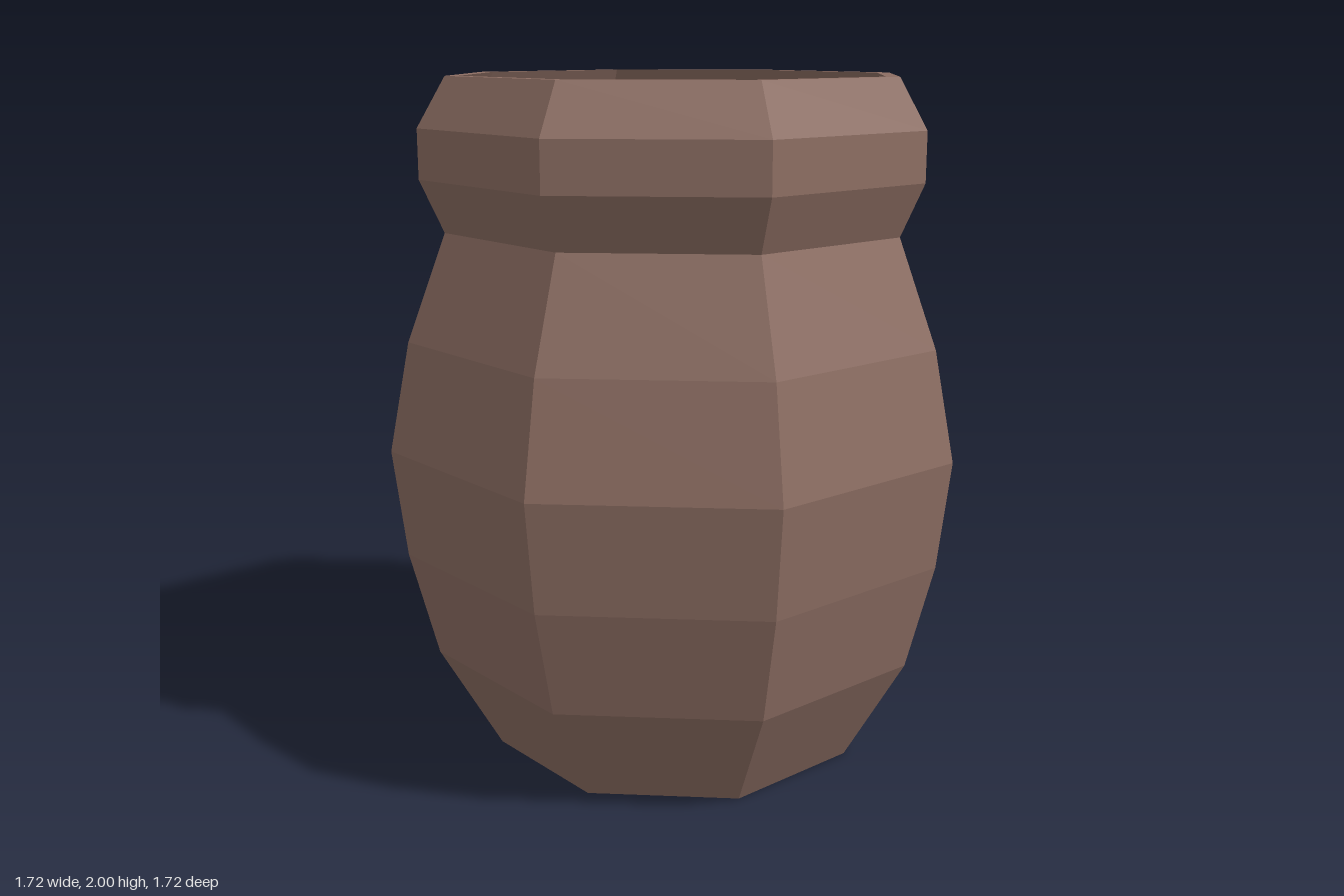
import * as THREE from 'three';

const SIDES = 8;

export function createModel() {
  const group = new THREE.Group();
  group.name = 'pot';
  const material = new THREE.MeshStandardMaterial({ color: 0x8d6e63, flatShading: true });

  // Outer wall as [radius, height], from the foot up to the rim
  const outer = [
    [0.565, 0], [0.745, 0.32], [0.825, 0.635], [0.862, 0.95], [0.8, 1.265],
    [0.685, 1.57], [0.752, 1.72], [0.752, 1.86], [0.67, 2],
  ];
  // Inner wall follows the outer one at wall thickness, from the rim down to the floor
  const wall = 0.04;
  const inner = outer.slice(1).reverse().map(([r, y]) => [r - wall, y]);
  inner.push([0.53, wall]);

  const lathe = (name, profile) => {
    const points = profile.map(([r, y]) => new THREE.Vector2(r, y));
    const mesh = new THREE.Mesh(new THREE.LatheGeometry(points, SIDES), material);
    mesh.name = name;
    group.add(mesh);
  };

  lathe('outerWall', [[0, 0], ...outer]);
  lathe('rim', [outer.at(-1), inner[0]]);
  lathe('innerWall', inner);
  lathe('floor', [inner.at(-1), [0, wall]]);

  return group;
}
